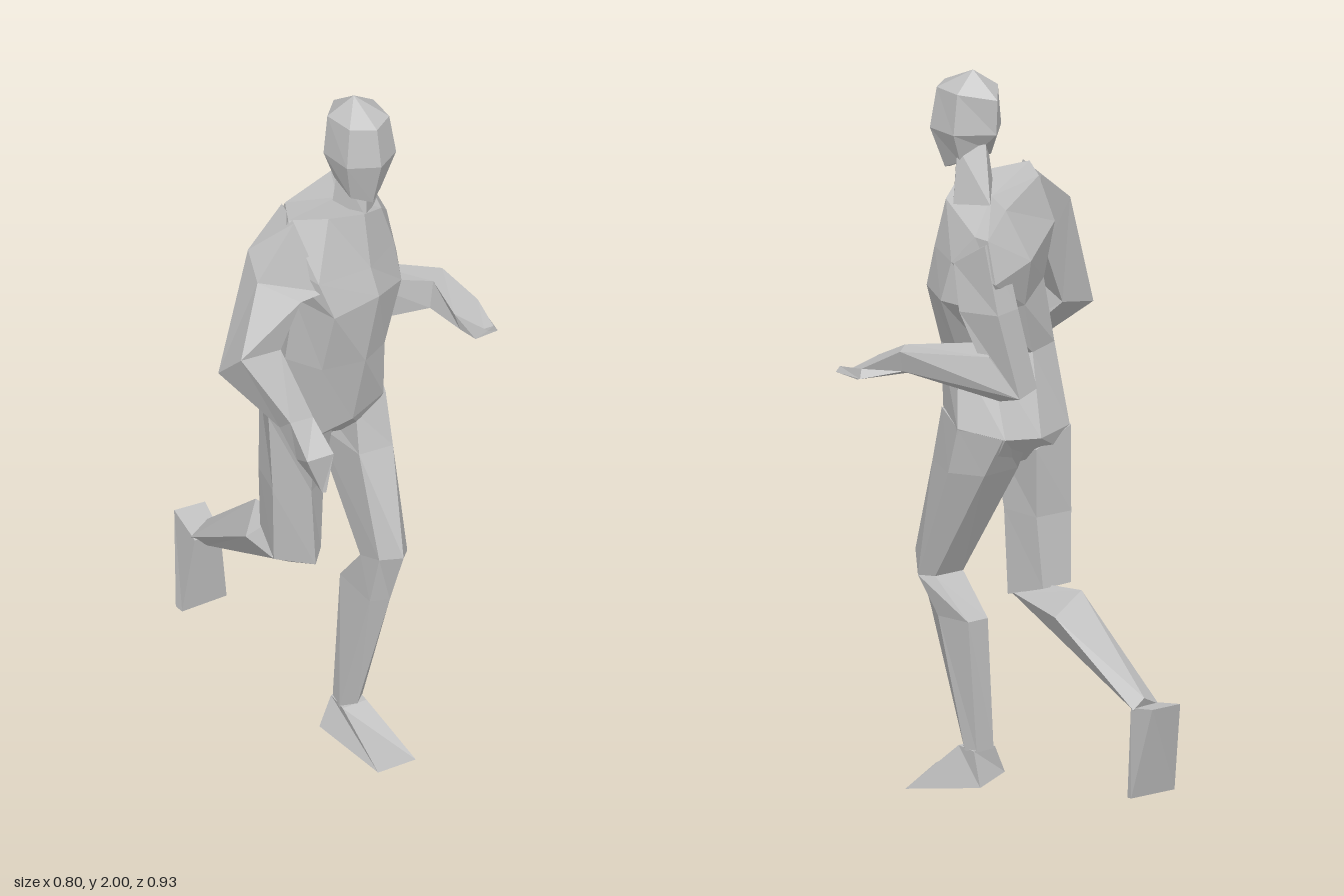
import * as THREE from 'three';

const grey = new THREE.MeshStandardMaterial({ color: 0xc0c0c0 });
grey.name = 'grey';

// Faceted skin through a list of cross-sections; a one-point section closes to a tip.
function loft(name, rings) {
  const n = Math.max(...rings.map(r => r.length));
  const centre = r => r[0].map((_, a) => r.reduce((s, p) => s + p[a], 0) / r.length);
  const all = [[centre(rings[0])], ...rings, [centre(rings[rings.length - 1])]];
  const tris = [];
  const add = (a, b, c) => {
    const [A, B, C] = [a, b, c].map(p => new THREE.Vector3(...p));
    if (new THREE.Triangle(A, B, C).getArea() > 1e-7) tris.push([A, B, C]);
  };
  for (let i = 0; i < all.length - 1; i++) {
    const lo = all[i], hi = all[i + 1];
    for (let k = 0; k < n; k++) {
      const a = lo[k % lo.length], b = lo[(k + 1) % lo.length];
      const c = hi[(k + 1) % hi.length], d = hi[k % hi.length];
      add(a, b, c);
      add(a, c, d);
    }
  }
  // Turn the skin outward whichever way the sections run.
  const volume = tris.reduce((s, [A, B, C]) => s + A.dot(B.clone().cross(C)), 0);
  const points = tris.flatMap(([A, B, C]) => (volume < 0 ? [A, C, B] : [A, B, C]));
  const geometry = new THREE.BufferGeometry().setFromPoints(points);
  geometry.computeVertexNormals();
  const mesh = new THREE.Mesh(geometry, grey);
  mesh.name = name;
  return mesh;
}

export function createModel() {
  const model = new THREE.Group();
  model.name = 'runningFigure';

  // Torso: right side, three front points, left side, three back points
  model.add(loft('torso', [
    [[-.2, 1.7, .23], [-.1, 1.69, .27], [0, 1.68, .29], [.08, 1.65, .25],
      [.17, 1.61, .04], [.17, 1.61, -.01], [.06, 1.66, .04], [-.15, 1.69, .14]],
    [[-.23, 1.58, .22], [-.16, 1.53, .315], [0, 1.53, .32], [.12, 1.53, .25],
      [.19, 1.53, .11], [.18, 1.5, -.05], [.03, 1.53, -.025], [-.17, 1.57, .1]],
    [[-.18, 1.45, .23], [-.13, 1.43, .345], [.01, 1.45, .345], [.13, 1.42, .27],
      [.2, 1.42, .14], [.14, 1.4, 0], [.02, 1.4, .01], [-.14, 1.42, .11]],
    [[-.19, 1.25, .2], [-.14, 1.25, .3], [-.02, 1.25, .325], [.07, 1.25, .28],
      [.11, 1.25, .17], [.06, 1.25, .1], [-.04, 1.25, .045], [-.15, 1.25, .08]],
    [[-.205, 1.06, .14], [-.13, 1.02, .26], [-.03, 1.05, .28], [.08, 1.08, .26],
      [.15, 1.06, .13], [.085, 1.04, .015], [-.02, 1.03, -.01], [-.14, 1.04, .01]],
    [[-.19, .97, .13], [-.12, .97, .2], [-.035, .95, .17], [.04, .97, .22],
      [.14, .97, .15], [.08, .97, .06], [-.02, .95, .07], [-.13, .97, .03]],
  ]));

  // Neck and head
  model.add(loft('neck', [
    [[.02, 1.79, .27], [.075, 1.8, .21], [.03, 1.81, .15], [-.03, 1.8, .21]],
    [[.01, 1.66, .285], [.1, 1.65, .2], [.06, 1.66, .1], [-.04, 1.69, .2]],
  ]));
  model.add(loft('head', [
    [[.02, 2, .21]],
    [[.02, 1.95, .32], [.085, 1.95, .28], [.095, 1.95, .19],
      [.02, 1.935, .115], [-.05, 1.95, .19], [-.04, 1.95, .28]],
    [[.02, 1.845, .34], [.1, 1.84, .29], [.108, 1.84, .19],
      [.02, 1.84, .12], [-.062, 1.84, .19], [-.055, 1.84, .29]],
    [[.02, 1.715, .3], [.065, 1.73, .27], [.075, 1.76, .2],
      [.03, 1.8, .16], [-.035, 1.76, .2], [-.03, 1.73, .27]],
  ]));

  // Right arm, hanging forward
  model.add(loft('rightUpperArm', [
    [[-.14, 1.5, .315], [-.195, 1.7, .25], [-.16, 1.69, .14], [-.13, 1.5, .12]],
    [[-.22, 1.5, .32], [-.31, 1.555, .25], [-.28, 1.6, .16], [-.2, 1.47, .17]],
    [[-.27, 1.36, .3], [-.395, 1.37, .3], [-.4, 1.28, .2], [-.29, 1.3, .2]],
  ]));
  model.add(loft('rightForearm', [
    [[-.27, 1.36, .3], [-.395, 1.37, .3], [-.4, 1.28, .2], [-.29, 1.3, .2]],
    [[-.225, 1.18, .385], [-.3, 1.19, .39], [-.3, 1.15, .34], [-.23, 1.16, .34]],
  ]));
  model.add(loft('rightHand', [
    [[-.225, 1.18, .385], [-.3, 1.19, .39], [-.3, 1.15, .34], [-.23, 1.16, .34]],
    [[-.21, 1.1, .46], [-.29, 1.1, .455], [-.28, 1.07, .39], [-.2, 1.1, .39]],
    [[-.23, .985, .455], [-.24, .985, .45], [-.25, 1.02, .4], [-.22, 1, .4]],
  ]));

  // Left arm, drawn back with the forearm swung outward
  model.add(loft('leftUpperArm', [
    [[.12, 1.57, .1], [.19, 1.53, .1], [.182, 1.6, -.01], [.1, 1.6, .01]],
    [[.12, 1.41, .07], [.208, 1.41, .06], [.185, 1.42, -.065], [.1, 1.42, -.05]],
    [[.1, 1.28, .03], [.185, 1.28, 0], [.14, 1.19, -.1], [.06, 1.2, -.08]],
  ]));
  model.add(loft('leftForearm', [
    [[.14, 1.19, -.1], [.185, 1.3, -.03], [.12, 1.31, .05], [.1, 1.15, .02]],
    [[.325, 1.25, .15], [.345, 1.31, .14], [.29, 1.31, .18], [.28, 1.23, .18]],
  ]));
  model.add(loft('leftHand', [
    [[.325, 1.25, .15], [.345, 1.31, .14], [.29, 1.31, .18], [.28, 1.23, .18]],
    [[.4, 1.225, .235], [.39, 1.25, .24], [.29, 1.26, .28], [.305, 1.21, .285]],
    [[.38, 1.215, .35], [.37, 1.23, .345], [.35, 1.22, .33], [.33, 1.19, .32]],
  ]));

  // Left leg, standing
  const leftKnee = [[0, .64, .36], [.05, .65, .4], [.115, .61, .32], [.09, .61, .28], [0, .61, .27]];
  const leftAnkle = [[-.045, .135, .24], [0, .135, .255], [.04, .135, .22],
    [.03, .135, .185], [-.03, .135, .185]];
  model.add(loft('leftThigh', [
    [[0, 1.04, .25], [.09, 1.08, .255], [.149, 1.06, .13], [.09, 1.04, .02], [0, 1, .03]],
    [[-.01, .93, .28], [.09, .93, .29], [.146, .93, .17], [.1, .93, .08], [-.02, .93, .08]],
    leftKnee,
  ]));
  model.add(loft('leftShin', [
    leftKnee,
    [[-.01, .5, .33], [.04, .5, .35], [.08, .5, .28], [.065, .5, .18], [0, .5, .175]],
    leftAnkle,
  ]));
  model.add(loft('leftFoot', [
    [[-.045, .14, .255], [.03, .14, .255], [.04, .14, .185], [-.035, .14, .185]],
    [[-.05, .035, .43], [.095, .003, .39], [.05, .05, .15], [-.075, .06, .19]],
  ]));

  // Right leg, knee bent and shin lifted behind
  model.add(loft('rightThigh', [
    [[-.202, 1.04, .14], [-.12, 1.02, .24], [-.04, .99, .2], [-.03, .99, .02], [-.14, 1.04, .005]],
    [[-.182, .8, .13], [-.1, .8, .19], [-.035, .8, .15], [-.04, .8, .03], [-.15, .8, .015]],
    [[-.165, .57, .11], [-.08, .56, .18], [-.03, .57, .13], [-.04, .61, .005], [-.135, .61, 0]],
  ]));
  model.add(loft('rightShin', [
    [[-.165, .57, .1], [-.08, .56, .18], [-.025, .58, .1], [-.07, .615, 0]],
    [[-.14, .54, -.06], [-.08, .5, .05], [-.022, .55, -.06], [-.085, .62, -.095]],
    [[-.11, .365, -.365], [-.07, .335, -.345], [-.02, .365, -.365], [-.05, .395, -.375]],
  ]));
  model.add(loft('rightFoot', [
    [[-.11, .365, -.345], [-.03, .365, -.345], [-.005, .39, -.455], [-.095, .39, -.465]],
    [[-.13, .135, -.375], [.01, .135, -.375], [.02, .14, -.4], [-.13, .135, -.405]],
  ]));

  return model;
}
